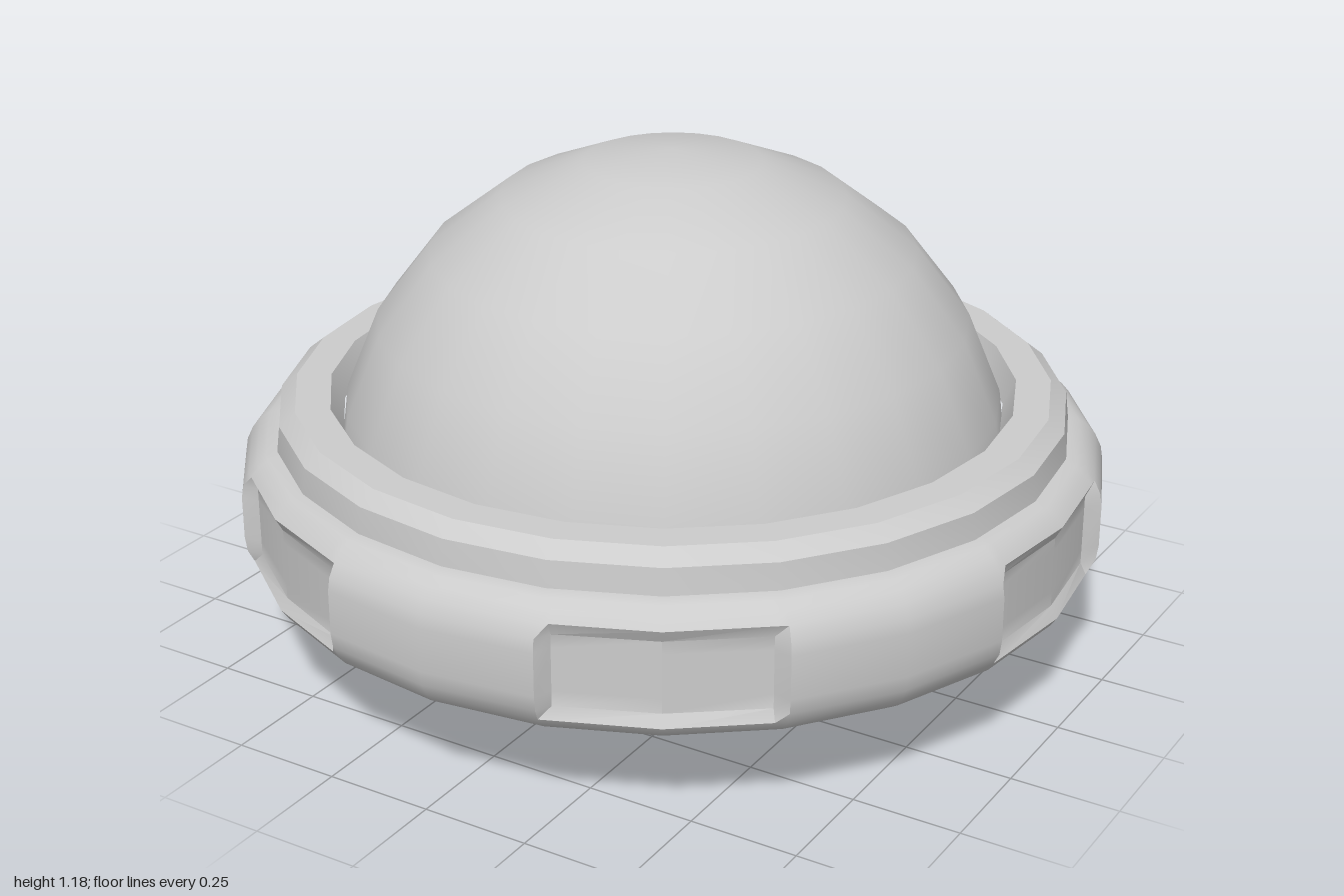
import * as THREE from 'three';
import { toCreasedNormals } from 'three/addons/utils/BufferGeometryUtils.js';

const SIDES = 24;
const material = new THREE.MeshStandardMaterial({ color: 0xcccccc });

function part(name, geometry) {
  const mesh = new THREE.Mesh(geometry, material);
  mesh.name = name;
  return mesh;
}

// Rounded 24-sided rim with six bevelled recesses, as a grid of rows and columns
function rimGeometry() {
  const profile = [
    [0, 0.225], [0.915, 0.225], [0.945, 0.232], [0.966, 0.246], [0.981, 0.268],
    [0.995, 0.295], [1, 0.33], [1, 0.43], [0.995, 0.46],
    [0.981, 0.49], [0.962, 0.513], [0.94, 0.528], [0.915, 0.535], [0.87, 0.535],
  ];
  const recessRadius = 0.965;
  const step = 360 / SIDES;
  const columns = [];
  for (let i = 0; i < 6; i++) {
    for (const offset of [-15, -13.5, 0, 13.5, 15, 30]) {
      columns.push({ angle: 30 + i * 60 + offset, recessed: Math.abs(offset) < 14 });
    }
  }

  const positions = [], indices = [];
  for (const { angle, recessed } of columns) {
    const a = THREE.MathUtils.degToRad(angle);
    // Keep in-between columns on the straight sides of the polygon
    const within = THREE.MathUtils.degToRad(THREE.MathUtils.euclideanModulo(angle, step) - step / 2);
    const chord = Math.cos(Math.PI / SIDES) / Math.cos(within);
    for (const [radius, y] of profile) {
      const inside = recessed && y > 0.28 && y < 0.47;
      const r = inside ? recessRadius : radius * chord;
      positions.push(r * Math.sin(a), y, r * Math.cos(a));
    }
  }
  const rows = profile.length;
  for (let c = 0; c < columns.length; c++) {
    const next = (c + 1) % columns.length;
    for (let j = 0; j < rows - 1; j++) {
      const a = c * rows + j, b = next * rows + j;
      if (j > 0) indices.push(a, b, b + 1);
      indices.push(a, b + 1, a + 1);
    }
  }
  const geometry = new THREE.BufferGeometry();
  geometry.setAttribute('position', new THREE.Float32BufferAttribute(positions, 3));
  geometry.setIndex(indices);
  return toCreasedNormals(geometry, 0.45);
}

export function createModel() {
  const model = new THREE.Group();
  model.name = 'domedDevice';

  model.add(part('rim', rimGeometry()));

  // Chamfered collar with a sloping inner lip
  const collarProfile = [
    [0.915, 0.53], [0.907, 0.595], [0.87, 0.625], [0.79, 0.625], [0.762, 0.565],
  ].map(([r, y]) => new THREE.Vector2(r, y));
  model.add(part('collar', toCreasedNormals(new THREE.LatheGeometry(collarProfile, SIDES), 0.45)));

  // Smooth dome
  const dome = part('dome', new THREE.SphereGeometry(0.78, SIDES, 6, 0, Math.PI * 2, 0, Math.PI / 2));
  dome.position.y = 0.397;
  model.add(dome);

  // Four-sided point underneath
  const spike = new THREE.ConeGeometry(0.295 * Math.SQRT2, 0.225, 4);
  spike.rotateX(Math.PI).rotateY(Math.PI / 4).translate(0, 0.1125, 0);
  model.add(part('bottomSpike', toCreasedNormals(spike, 0.1)));

  return model;
}
